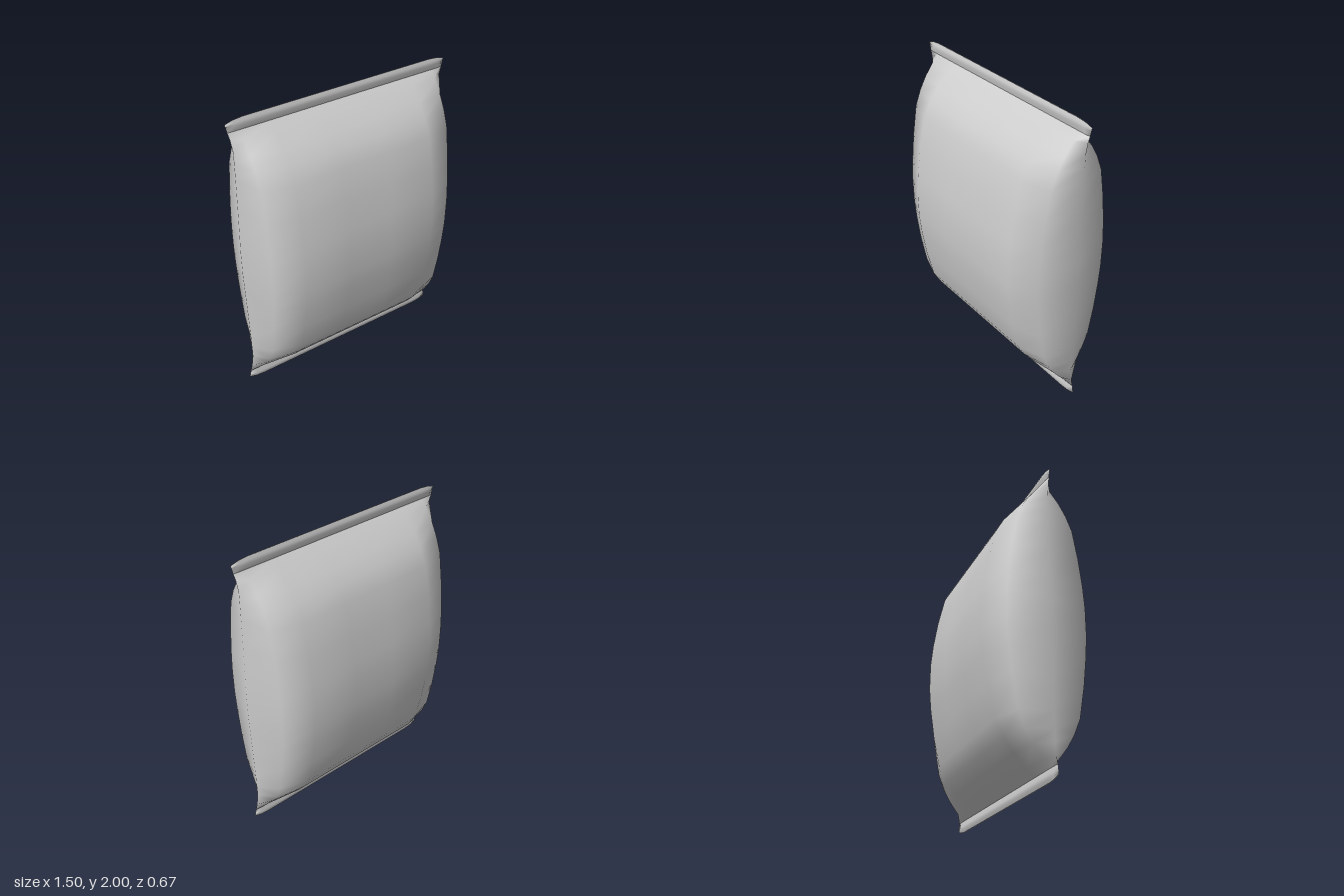
import * as THREE from 'three';

const material = new THREE.MeshStandardMaterial({ color: 0xcccccc, side: THREE.DoubleSide });

// Smooth skin over closed rings of [x, y, z] points, stacked upwards
function skin(name, rings) {
  const n = rings[0].length;
  const index = [];
  for (let i = 0; i < rings.length - 1; i++) {
    for (let j = 0; j < n; j++) {
      const k = (j + 1) % n;
      const a = i * n + j, b = i * n + k, c = a + n, d = b + n;
      index.push(a, c, b, b, c, d);
    }
  }
  const geometry = new THREE.BufferGeometry();
  geometry.setAttribute('position', new THREE.Float32BufferAttribute(rings.flat(2), 3));
  geometry.setIndex(index);
  geometry.computeVertexNormals();
  const mesh = new THREE.Mesh(geometry, material);
  mesh.name = name;
  return mesh;
}

// Mirrors one quarter of a section (side edge first) into a full ring
function fullRing(quarter) {
  const front = [...quarter, ...quarter.slice().reverse().map(([x, y, z]) => [-x, y, z])];
  const back = front.slice(1, -1).reverse().map(([x, y, z]) => [x, y, -z]);
  return [...front, ...back];
}

export function createModel() {
  const group = new THREE.Group();
  group.name = 'pillowBag';

  // Puffed body: height, half width at the side seam, half depth (lower half)
  const lower = [
    [0.075, 0.74, 0.003], [0.12, 0.728, 0.055], [0.2, 0.716, 0.135], [0.28, 0.716, 0.195],
    [0.38, 0.717, 0.248], [0.58, 0.721, 0.293], [0.77, 0.726, 0.322], [0.91, 0.73, 0.335],
  ];
  const upper = lower.slice().reverse().map(([y, w, d]) => [2 - y, w, d]);
  const body = [...lower, ...upper].map(([y, w, d]) => fullRing([
    [w, y, 0], [0.66, y, d * 0.76], [0.475, y, d], [0.16, y, d],
  ]));
  group.add(skin('bagBody', body));

  // Crimped seal: height, half width, half thickness, lift of the outer corner
  const seal = [
    [0, 0.75, 0.002, 0.02], [0.02, 0.75, 0.01, 0.01],
    [0.04, 0.747, 0.012, 0], [0.075, 0.74, 0.003, 0],
  ].map(([y, w, d, lift]) => fullRing([
    [w, y + lift, 0], [0.7, y + lift * 0.3, d * 0.8], [0.64, y, d], [0.2, y, d],
  ]));
  group.add(skin('bottomSeal', seal));
  const topSeal = skin('topSeal', seal);
  topSeal.rotation.x = Math.PI;
  topSeal.position.y = 2;
  group.add(topSeal);

  return group;
}
